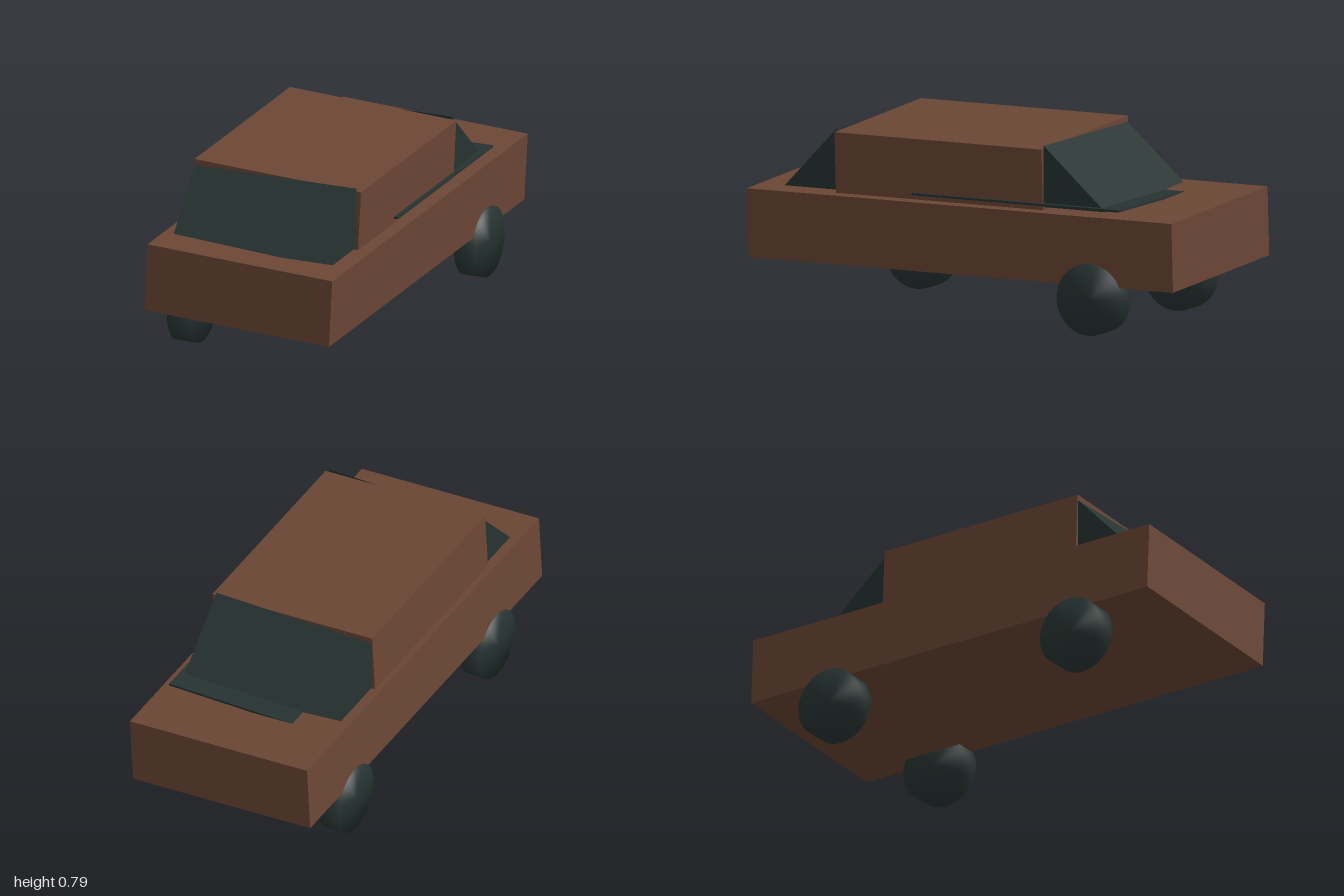
import * as THREE from 'three';
import { mergeVertices } from 'three/addons/utils/BufferGeometryUtils.js';

const TILT = -0.0507; // the body leans down towards its missing wheel

export function createModel() {
  const model = new THREE.Group();
  model.name = 'car';

  const material = (name, color) => {
    const m = new THREE.MeshStandardMaterial({ color });
    m.name = name;
    return m;
  };
  const brown = material('brown paint', 0x6b4635);
  const dark = material('dark glass and rubber', 0x263331);

  const add = (name, geometry, mat, x = 0, y = 0, z = 0) => {
    const mesh = new THREE.Mesh(geometry, mat);
    mesh.name = name;
    mesh.position.set(x, y, z);
    model.add(mesh);
    return mesh;
  };

  // Leaning body and cabin
  add('body', new THREE.BoxGeometry(0.838, 0.291, 2), brown, 0, 0.376, 0).rotation.z = TILT;
  add('cabin', new THREE.BoxGeometry(0.755, 0.29, 0.975), brown, -0.001, 0.633, 0.1225).rotation.z = TILT;

  // Level window wedges: triangular side profile (z, y) extruded across the car
  const wedge = (name, zTop, zBottom) => {
    const profile = new THREE.Shape([
      new THREE.Vector2(-zTop, 0.515),
      new THREE.Vector2(-zBottom, 0.515),
      new THREE.Vector2(-zTop, 0.772),
    ]);
    const geometry = new THREE.ExtrudeGeometry(profile, { depth: 0.731, bevelEnabled: false });
    geometry.rotateY(Math.PI / 2);
    add(name, geometry, dark, -0.367);
  };
  wedge('windshield', 0.61, 0.855);
  wedge('rearWindow', -0.365, -0.656);

  // Thin level plate, partly sunk in the body
  add('trimPlate', new THREE.BoxGeometry(0.764, 0.009, 0.975), dark, 0.006, 0.527, -0.2425);

  // Three softly shaded wheels; the front left one is missing
  let wheel = new THREE.CylinderGeometry(0.15, 0.15, 0.097, 40);
  wheel.rotateZ(Math.PI / 2);
  wheel.deleteAttribute('normal');
  wheel.deleteAttribute('uv');
  wheel = mergeVertices(wheel);
  wheel.computeVertexNormals();
  for (const [name, x, z] of [
    ['frontRightWheel', -0.381, 0.61],
    ['rearRightWheel', -0.381, -0.61],
    ['rearLeftWheel', 0.379, -0.61],
  ]) add(name, wheel, dark, x, 0.152, z);

  return model;
}
